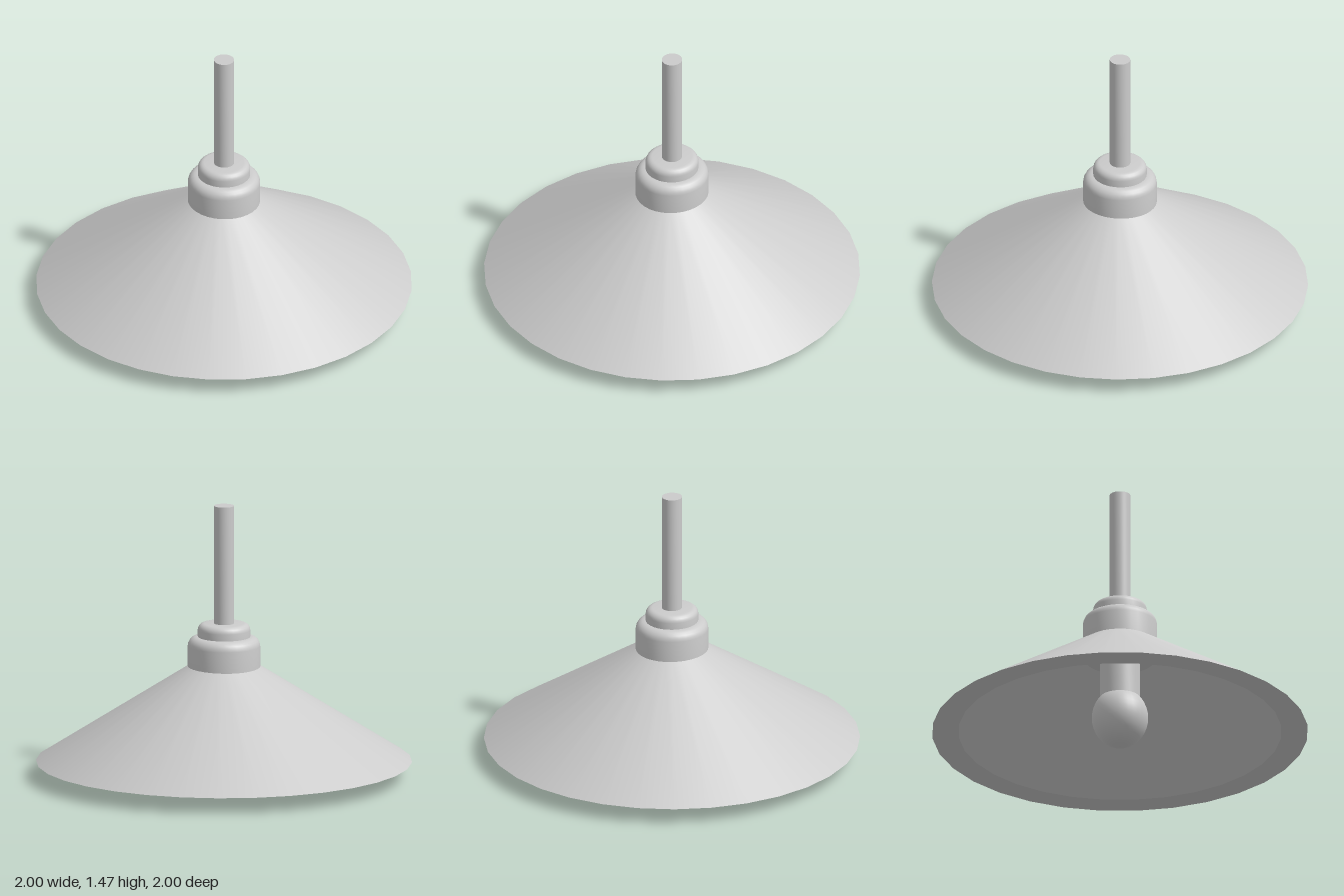
import * as THREE from 'three';
import { toCreasedNormals } from 'three/addons/utils/BufferGeometryUtils.js';

const material = new THREE.MeshStandardMaterial({ color: 0xcccccc });

// Turned part from [radius, y] pairs, listed so that the outside runs upward
function turned(name, profile, scaleX = 1) {
  const points = profile.map(([r, y]) => new THREE.Vector2(r, y));
  const geometry = toCreasedNormals(new THREE.LatheGeometry(points, 32), 0.6);
  const mesh = new THREE.Mesh(geometry, material);
  mesh.name = name;
  mesh.scale.x = scaleX;
  return mesh;
}

// Quarter-round shoulder ending at height top, from outer radius inward
function shoulder(radius, top, round, steps = 5) {
  return Array.from({ length: steps + 1 }, (_, i) => {
    const a = (i / steps) * Math.PI / 2;
    return [radius - round * (1 - Math.cos(a)), top - round * (1 - Math.sin(a))];
  });
}

export function createModel() {
  const lamp = new THREE.Group();
  lamp.name = 'pendantLamp';

  // Conical shade: inner wall, broad flat rim, outer wall
  lamp.add(turned('shade', [[0.17, 0.585], [0.86, 0.086], [1, 0.086], [0.19, 0.602]]));

  // Stepped fitting above the shade, reaching a little inside it
  lamp.add(turned('fitting', [
    [0, 0.507], [0.185, 0.507], [0.197, 0.52], ...shoulder(0.197, 0.762, 0.05), [0, 0.762],
  ], 0.975));
  lamp.add(turned('collar', [
    [0, 0.74], [0.143, 0.74], ...shoulder(0.143, 0.833, 0.035), [0, 0.833],
  ], 0.975));

  // Hanging rod
  lamp.add(turned('rod', [[0, 0.8], [0.055, 0.8], [0.055, 1.47], [0, 1.47]], 0.975));

  // Bulb holder and slightly elongated bulb
  lamp.add(turned('socket', [[0, 0.25], [0.108, 0.25], [0.108, 0.53], [0, 0.53]]));
  const bulb = new THREE.Mesh(new THREE.SphereGeometry(0.15, 32, 20), material);
  bulb.name = 'bulb';
  bulb.scale.y = 1.1;
  bulb.position.y = 0.165;
  lamp.add(bulb);

  return lamp;
}
